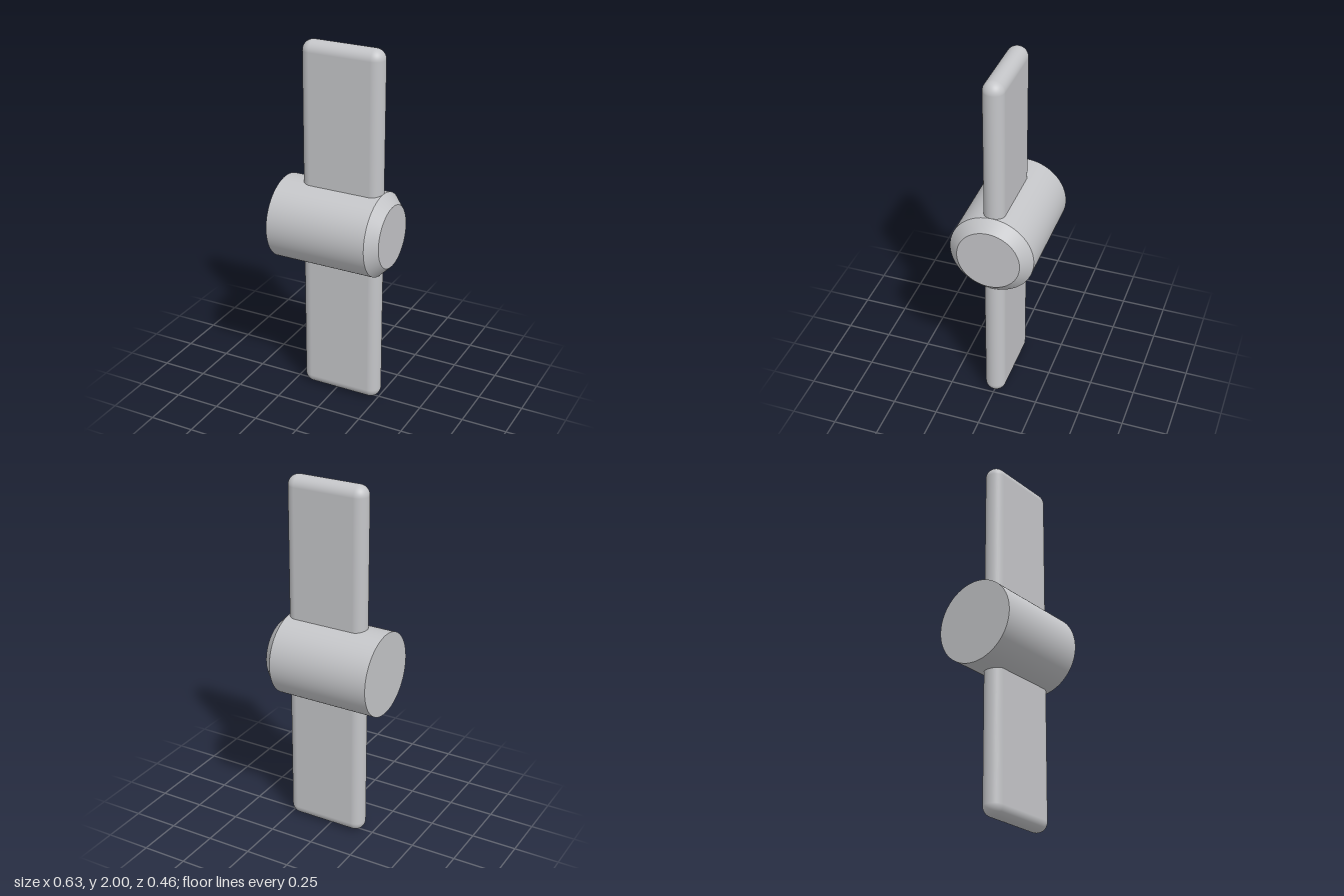
import * as THREE from 'three';
import { RoundedBoxGeometry } from 'three/addons/geometries/RoundedBoxGeometry.js';

export function createModel() {
  const model = new THREE.Group();
  model.name = 'propeller';
  const metal = new THREE.MeshStandardMaterial({ name: 'light grey metal', color: 0xc4c5c8 });

  const add = (parent, name, geometry, x, y) => {
    const mesh = new THREE.Mesh(geometry, metal);
    mesh.name = name;
    mesh.position.set(x, y, 0);
    parent.add(mesh);
  };

  const R = 0.229, noseR = 0.171, back = -0.314, shoulder = 0.257, nose = 0.314, sides = 96;

  // Hub lying along x, with a chamfered nose on the +x end
  const hub = new THREE.Group();
  hub.name = 'hub';
  hub.position.y = 1;
  model.add(hub);
  const section = (name, r0, r1, x0, x1) => add(hub, name,
    new THREE.CylinderGeometry(r1, r0, x1 - x0, sides, 1, true).rotateZ(-Math.PI / 2), (x0 + x1) / 2, 0);
  section('hubBody', R, R, back, shoulder);
  section('hubChamfer', R, noseR, shoulder, nose);
  add(hub, 'hubBackCap', new THREE.CircleGeometry(R, sides).rotateY(-Math.PI / 2), back, 0);
  add(hub, 'hubNoseCap', new THREE.CircleGeometry(noseR, sides).rotateY(Math.PI / 2), nose, 0);

  // One flat bar with fully rounded edges runs through the hub and forms both blades
  add(model, 'blades', new RoundedBoxGeometry(0.457, 2, 0.1142, 8, 0.057), 0.0285, 1);

  return model;
}
